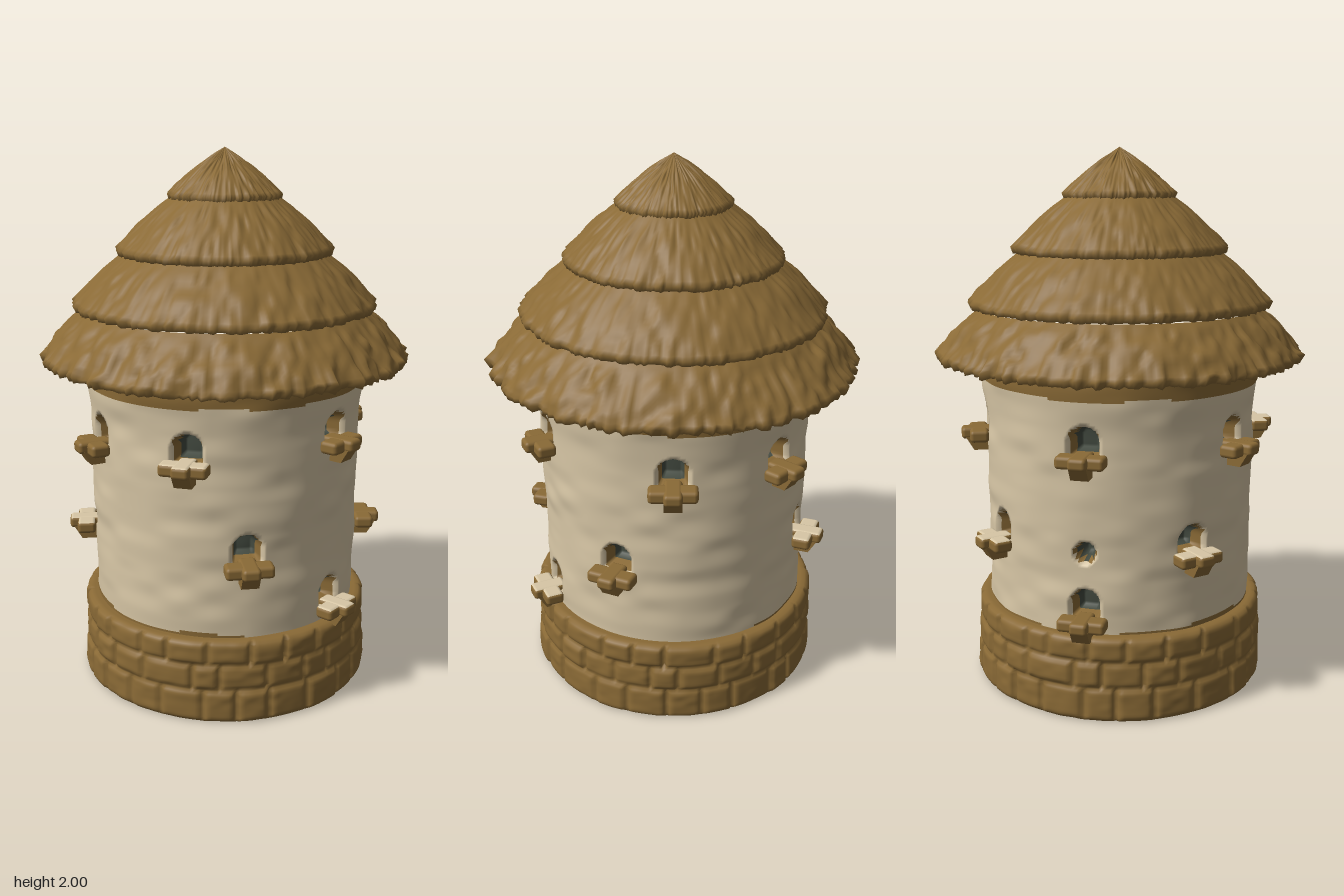
import * as THREE from 'three';
import { RoundedBoxGeometry } from 'three/addons/geometries/RoundedBoxGeometry.js';

const mat = (name, color) => {
  const m = new THREE.MeshStandardMaterial({ color });
  m.name = name;
  return m;
};

const TAU = Math.PI * 2;
const { lerp, smoothstep, degToRad } = THREE.MathUtils;

// Seeded value noise, periodic around the tower (n cells per turn)
const hash = (i, j) => {
  const s = Math.sin(i * 127.1 + j * 311.7 + 4.2) * 43758.5453;
  return s - Math.floor(s);
};
const noise = (u, v, n) => {
  const x = (((u % 1) + 1) % 1) * n, i = Math.floor(x), j = Math.floor(v);
  const a = smoothstep(x - i, 0, 1), b = smoothstep(v - j, 0, 1);
  const h = (p, q) => hash(p % n, q);
  return lerp(lerp(h(i, j), h(i + 1, j), a), lerp(h(i, j + 1), h(i + 1, j + 1), a), b) - 0.5;
};

// Closed ring surface: point(u, row) gives [radius, y]; paint(u, row) gives a material index
function ringSurface(name, segs, rows, point, paint, materials) {
  const pos = [], lists = materials.map(() => []);
  for (let j = 0; j <= rows; j++) {
    for (let i = 0; i < segs; i++) {
      const [r, y] = point(i / segs, j), a = (i / segs) * TAU;
      pos.push(r * Math.sin(a), y, r * Math.cos(a));
    }
  }
  for (let j = 0; j < rows; j++) {
    for (let i = 0; i < segs; i++) {
      const k = (i + 1) % segs, a = j * segs + i, b = j * segs + k;
      lists[paint((i + 0.5) / segs, j + 0.5)].push(a, b, b + segs, a, b + segs, a + segs);
    }
  }
  const g = new THREE.BufferGeometry();
  g.setAttribute('position', new THREE.Float32BufferAttribute(pos, 3));
  g.setIndex(lists.flat());
  let start = 0;
  lists.forEach((l, m) => { g.addGroup(start, l.length, m); start += l.length; });
  g.computeVertexNormals();
  const mesh = new THREE.Mesh(g, materials);
  mesh.name = name;
  return mesh;
}

// Nest openings: angle from the front, perch height, cream-topped perch
const NESTS = [
  [0, 0.99], [65, 0.95], [-65, 0.95, true], [113, 0.95], [-113, 0.95], [180, 0.95],
  [41, 0.585], [-41, 0.585], [135, 0.585, true], [-135, 0.585, true],
  [0, 0.36, true], [180, 0.36],
];

// Signed distance to the nearest opening (arches, plus one small round hole at the back)
function holeDistance(u, y) {
  const offset = (deg) => {
    const d = u - deg / 360;
    return (d - Math.round(d)) * TAU * 0.505;
  };
  let best = Math.hypot(offset(180), y - 0.61) - 0.036;
  for (const [deg, py] of NESTS) {
    const dx = offset(deg), dy = y - (py + 0.06), w = 0.052;
    best = Math.min(best, dy > 0 ? Math.hypot(dx, dy) - w : Math.max(Math.abs(dx) - w, -dy - 0.05));
  }
  return best;
}

// Plastered wall with recessed openings and brown bands at both ends
function makeWall(cream, brown, dark) {
  const rows = 100, height = (j) => lerp(0.28, 1.26, j / rows);
  return ringSurface('wall', 360, rows, (u, j) => {
    const y = height(j);
    const base = 0.502 + 0.006 * smoothstep(y, 0.5, 1) + 0.014 * smoothstep(y, 1.0, 1.2);
    const lumps = 0.008 * noise(u, y * 16, 26) + 0.006 * noise(u, y * 7 + 9, 11);
    return [base + lumps - 0.09 * (1 - smoothstep(holeDistance(u, y), -0.016, 0.008)), y];
  }, (u, j) => {
    const y = height(j), d = holeDistance(u, y);
    if (d < -0.004) return 2;
    if (d < 0.005) return 1;
    return y > 1.157 + 0.018 * noise(u, 3, 14) || y < 0.318 + 0.03 * noise(u, 5, 12) ? 1 : 0;
  }, [cream, brown, dark]);
}

// Stone footing: three courses of rounded blocks
function makeFooting(brown) {
  const courses = [0, 0.125, 0.222, 0.312], sideRows = 36, n = 24;
  const joint = (k, c) => (k + 0.45 * (hash(((k % n) + n) % n, c + 20) - 0.5)) / n;
  return ringSurface('stoneFooting', 340, sideRows + 4, (u, j) => {
    if (j === 0) return [0, 0.008];
    if (j === 1) return [0.5, 0.008 + 0.01 * noise(u, 2, 40)];
    if (j === sideRows + 3) return [0.515, 0.312];
    if (j === sideRows + 4) return [0.48, 0.31];
    const t = (j - 2) / sideRows, y = t * 0.312;
    const c = y < courses[1] ? 0 : y < courses[2] ? 1 : 2;
    const s = u + c * 0.37 / n;
    let k = Math.floor(s * n);
    if (s < joint(k, c)) k--;
    else if (s >= joint(k + 1, c)) k++;
    const edgeX = Math.min(s - joint(k, c), joint(k + 1, c) - s) * TAU * 0.55;
    const edgeY = Math.min(y - courses[c], courses[c + 1] - y);
    const round = (d) => Math.sqrt(1 - (1 - Math.min(1, Math.max(0, d) / 0.026)) ** 2);
    const bump = Math.min(round(edgeX), round(edgeY + 0.002));
    const id = ((k % n) + n) % n;
    return [0.53 - 0.008 * t + bump * (0.022 + 0.009 * hash(id, c)) + 0.004 * noise(u, y * 40, 80), y];
  }, () => 0, [brown]);
}

// One thatch tier: underside, ragged lip, then ribbed slope up to the next tier
function makeTier(index, [r0, y0, r1, y1, inner, rag], brown, dark) {
  const slopeRows = 14;
  return ringSurface('thatchTier' + (index + 1), 280, slopeRows + 3, (u, j) => {
    const i = Math.round(u * 280);
    const jag = rag * (hash(i, index + 50) - 0.5) + 0.5 * rag * noise(u, index * 5, 90);
    if (j === 0) return [inner, y0 - 0.004];
    if (j === 1) return [r0 - 0.03 + jag, y0 - 0.018];
    if (j === 2) return [r0 - 0.008 + jag, y0 - 0.02 - 0.3 * jag];
    const t = (j - 3) / slopeRows, fade = (1 - t) ** 1.5;
    const strands = 0.55 * rag * (noise(u, t * 5 + index * 9, 140) + noise(u, t * 3 + 40, 60));
    const r = lerp(r0, r1, t) + 0.013 * Math.sin(Math.PI * t);
    const tip = Math.min(1, (1 - t) * 4);
    return [Math.max(0, r + jag * fade * fade + strands * tip), lerp(y0, y1, t) + strands * 0.8 * tip];
  }, (u, j) => (j < 1 ? 1 : 0), [brown, dark]);
}

// Wooden perch: crossbar, outward tongue and tapered bracket
function makePerch(deg, y, creamTop, brown, cream) {
  const group = new THREE.Group();
  group.name = 'perch';
  const skin = [brown, brown, creamTop ? cream : brown, brown, brown, brown];
  const add = (name, geometry, materials, py, pz) => {
    const m = new THREE.Mesh(geometry, materials);
    m.name = name;
    m.position.set(0, py, pz);
    group.add(m);
  };
  add('crossbar', new RoundedBoxGeometry(0.175, 0.046, 0.07, 2, 0.014), skin, 0, 0.538);
  add('tongue', new RoundedBoxGeometry(0.066, 0.044, 0.13, 2, 0.014), skin, 0.003, 0.538);
  const bracket = new THREE.BoxGeometry(0.064, 0.05, 0.1);
  const p = bracket.attributes.position;
  for (let i = 0; i < p.count; i++) {
    if (p.getY(i) < 0 && p.getZ(i) > 0) p.setZ(i, 0.02);
  }
  bracket.computeVertexNormals();
  add('bracket', bracket, brown, -0.036, 0.538);
  group.position.y = y;
  group.rotation.y = degToRad(deg);
  return group;
}

export function createModel() {
  const brown = mat('thatch and stone brown', 0x8a6a36);
  const cream = mat('cream plaster', 0xd8c7a6);
  const dark = mat('opening grey', 0x434a40);
  const shade = mat('eave dark green', 0x2c372c);

  const model = new THREE.Group();
  model.name = 'roundDovecote';
  model.add(makeFooting(brown), makeWall(cream, brown, dark));

  // Roof tiers: edge radius, edge y, top radius, top y, underside radius, raggedness
  const tiers = [
    [0.675, 1.252, 0.525, 1.42, 0.49, 0.026],
    [0.56, 1.445, 0.365, 1.63, 0.48, 0.014],
    [0.398, 1.642, 0.19, 1.83, 0.32, 0.012],
    [0.208, 1.835, 0, 2.0, 0.14, 0.01],
  ];
  const roof = new THREE.Group();
  roof.name = 'roof';
  tiers.forEach((t, i) => roof.add(makeTier(i, t, brown, shade)));
  model.add(roof);

  for (const [deg, y, creamTop] of NESTS) model.add(makePerch(deg, y, creamTop, brown, cream));
  return model;
}
